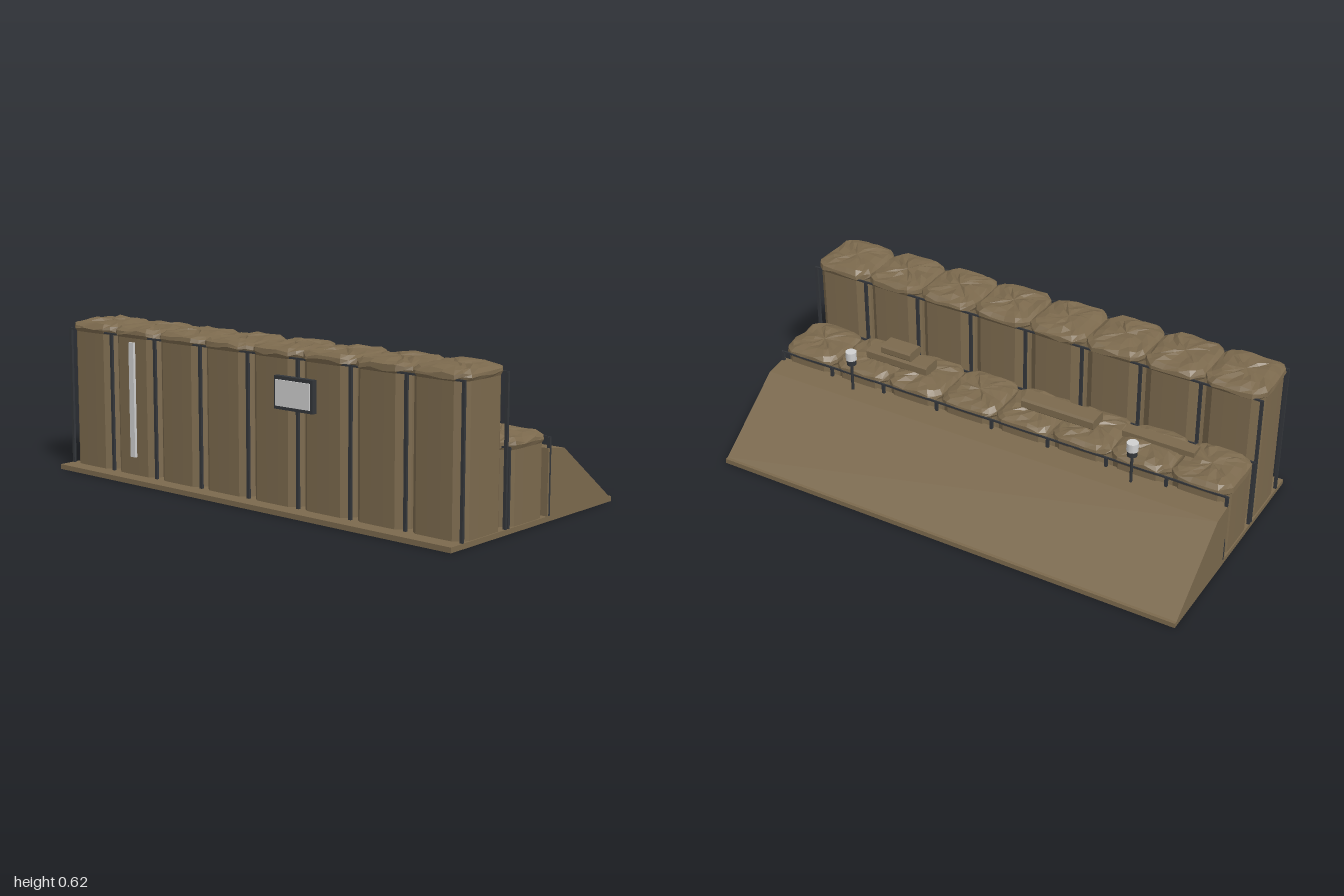
import * as THREE from 'three';

const earth = new THREE.MeshStandardMaterial({ color: 0x7b694d });
earth.name = 'earth canvas';
const wire = new THREE.MeshStandardMaterial({ color: 0x33363a });
wire.name = 'dark steel';
const pale = new THREE.MeshStandardMaterial({ color: 0xcfcfcf });
pale.name = 'pale grey';

// Small seeded generator for the lumpy bag tops
function makeRandom(seed) {
  let s = seed;
  return () => {
    s = (s * 16807) % 2147483647;
    return s / 2147483647;
  };
}

function addMesh(parent, name, geometry, material, x = 0, y = 0, z = 0) {
  const mesh = new THREE.Mesh(geometry, material);
  mesh.name = name;
  mesh.position.set(x, y, z);
  parent.add(mesh);
  return mesh;
}

// Box given by its lower and upper limits
function addBox(parent, name, material, [x0, x1], [y0, y1], [z0, z1]) {
  return addMesh(parent, name, new THREE.BoxGeometry(x1 - x0, y1 - y0, z1 - z0), material,
    (x0 + x1) / 2, (y0 + y1) / 2, (z0 + z1) / 2);
}

// Plan of a bag: a square with cut corners, one side turned four times
const plan = [];
for (let k = 0; k < 4; k++) {
  for (let [x, z] of [[1, -0.66], [1.01, -0.25], [1.01, 0.25], [1, 0.66], [0.86, 0.86]]) {
    for (let t = 0; t < k; t++) [x, z] = [-z, x];
    plan.push([x, z]);
  }
}

// Upright faceted bag with an uneven, overhanging domed top
function bagGeometry(height, halfX, halfZ, seed) {
  const random = makeRandom(seed);
  const rings = [ // scale, height, unevenness
    [1.0, 0, 0], [1.0, height - 0.047, 0], [1.05, height - 0.036, 0.007],
    [1.03, height - 0.022, 0.007], [0.9, height - 0.01, 0.006],
    [0.65, height - 0.005, 0.007], [0.32, height - 0.003, 0.006],
  ];
  const positions = [], index = [], n = plan.length;
  for (const [scale, y, rough] of rings) {
    for (const [px, pz] of plan) {
      const s = scale * (1 + (random() - 0.5) * rough * 2);
      positions.push(px * s * halfX, y + (random() - 0.5) * 2 * rough, pz * s * halfZ);
    }
  }
  positions.push(0, height - 0.004, 0);
  const tip = rings.length * n;
  for (let j = 0; j < n; j++) {
    const next = (j + 1) % n;
    for (let i = 0; i < rings.length - 1; i++) {
      const a = i * n + j, b = i * n + next;
      index.push(a, a + n, b, b, a + n, b + n);
    }
    index.push(tip - n + j, tip, tip - n + next);
  }
  const geometry = new THREE.BufferGeometry();
  geometry.setAttribute('position', new THREE.Float32BufferAttribute(positions, 3));
  geometry.setIndex(index);
  const flat = geometry.toNonIndexed();
  flat.computeVertexNormals();
  return flat;
}

// Small sandbag: a block with cut long edges, laid along x
function addSandbag(parent, x0, x1, y0, y1, z0, z1) {
  const c = 0.008, shape = new THREE.Shape();
  const outline = [[z0 + c, y0], [z1 - c, y0], [z1, y0 + c], [z1, y1 - c],
    [z1 - c, y1], [z0 + c, y1], [z0, y1 - c], [z0, y0 + c]];
  shape.setFromPoints(outline.map(([z, y]) => new THREE.Vector2(-z, y)));
  const geometry = new THREE.ExtrudeGeometry(shape, { depth: x1 - x0, bevelEnabled: false });
  geometry.rotateY(Math.PI / 2);
  addMesh(parent, 'sandbag', geometry, earth, x0, 0, 0);
}

export function createModel() {
  const model = new THREE.Group();
  model.name = 'earthwork barrier';

  // Ground slab
  addBox(model, 'groundSlab', earth, [-1, 1], [0, 0.02], [-0.5, 0.5]);

  // Rear embankment, extruded along x
  const section = new THREE.Shape([[0.07, 0.02], [0.487, 0.02], [0.172, 0.257], [0.07, 0.27]]
    .map(([z, y]) => new THREE.Vector2(z, y)));
  const bank = new THREE.ExtrudeGeometry(section, { depth: 2, bevelEnabled: false });
  bank.rotateY(Math.PI / 2);
  addMesh(model, 'embankment', bank, earth, -1, 0, 0);

  // Two rows of filled bags with wire cages
  const rows = [
    { name: 'tallBag', top: 0.616, z: 0.307, halfZ: 0.127, cage: [0.431, 0.182], cageTop: 0.575 },
    { name: 'lowBag', top: 0.342, z: 0.046, halfZ: 0.123, cage: [0.166, -0.083], cageTop: 0.308 },
  ];
  rows.forEach((row, r) => {
    for (let i = 0; i < 8; i++) {
      addMesh(model, row.name, bagGeometry(row.top - 0.02, 0.119, row.halfZ, 91 + r * 3571 + i * 7877),
        earth, -0.875 + i * 0.25, 0.02, row.z);
    }
    for (const z of row.cage) {
      for (let i = 0; i <= 8; i++) {
        const x = THREE.MathUtils.clamp(-1 + i * 0.25, -0.994, 0.994);
        addBox(model, 'cagePost', wire, [x - 0.006, x + 0.006], [0.02, row.cageTop], [z - 0.005, z + 0.005]);
      }
      addBox(model, 'cageRail', wire, [-1, 1], [row.cageTop - 0.004, row.cageTop + 0.003], [z - 0.003, z + 0.003]);
    }
  });

  // Sandbags and plank on the firing step
  addBox(model, 'plank', earth, [-0.8, -0.5], [0.33, 0.355], [0.045, 0.1]);
  for (const [x0, x1, y0, y1] of [
    [-0.395, -0.235, 0.335, 0.379], [-0.235, -0.08, 0.335, 0.379],
    [0.355, 0.498, 0.335, 0.379], [0.498, 0.64, 0.335, 0.379], [0.43, 0.568, 0.381, 0.42],
  ]) addSandbag(model, x0, x1, y0, y1, 0.009, 0.091);

  // Marker strip and sign board on the front
  addBox(model, 'markerStrip', pale, [-0.623, -0.596], [0.097, 0.555], [0.446, 0.457]);
  addBox(model, 'signFrame', wire, [0.155, 0.343], [0.385, 0.508], [0.434, 0.456]);
  addBox(model, 'signFace', pale, [0.166, 0.332], [0.398, 0.495], [0.455, 0.462]);

  // Lamps on poles behind the low row
  for (const x of [-0.622, 0.626]) {
    const lamp = new THREE.Group();
    lamp.name = 'lamp';
    lamp.position.set(x, 0, -0.117);
    addMesh(lamp, 'lampPole', new THREE.CylinderGeometry(0.006, 0.006, 0.14, 8), wire, 0, 0.322, 0);
    addMesh(lamp, 'lampBase', new THREE.CylinderGeometry(0.02, 0.02, 0.024, 10), wire, 0, 0.395, 0);
    addMesh(lamp, 'lampHead', new THREE.CylinderGeometry(0.023, 0.023, 0.035, 10), pale, 0, 0.4235, 0);
    model.add(lamp);
  }

  return model;
}
